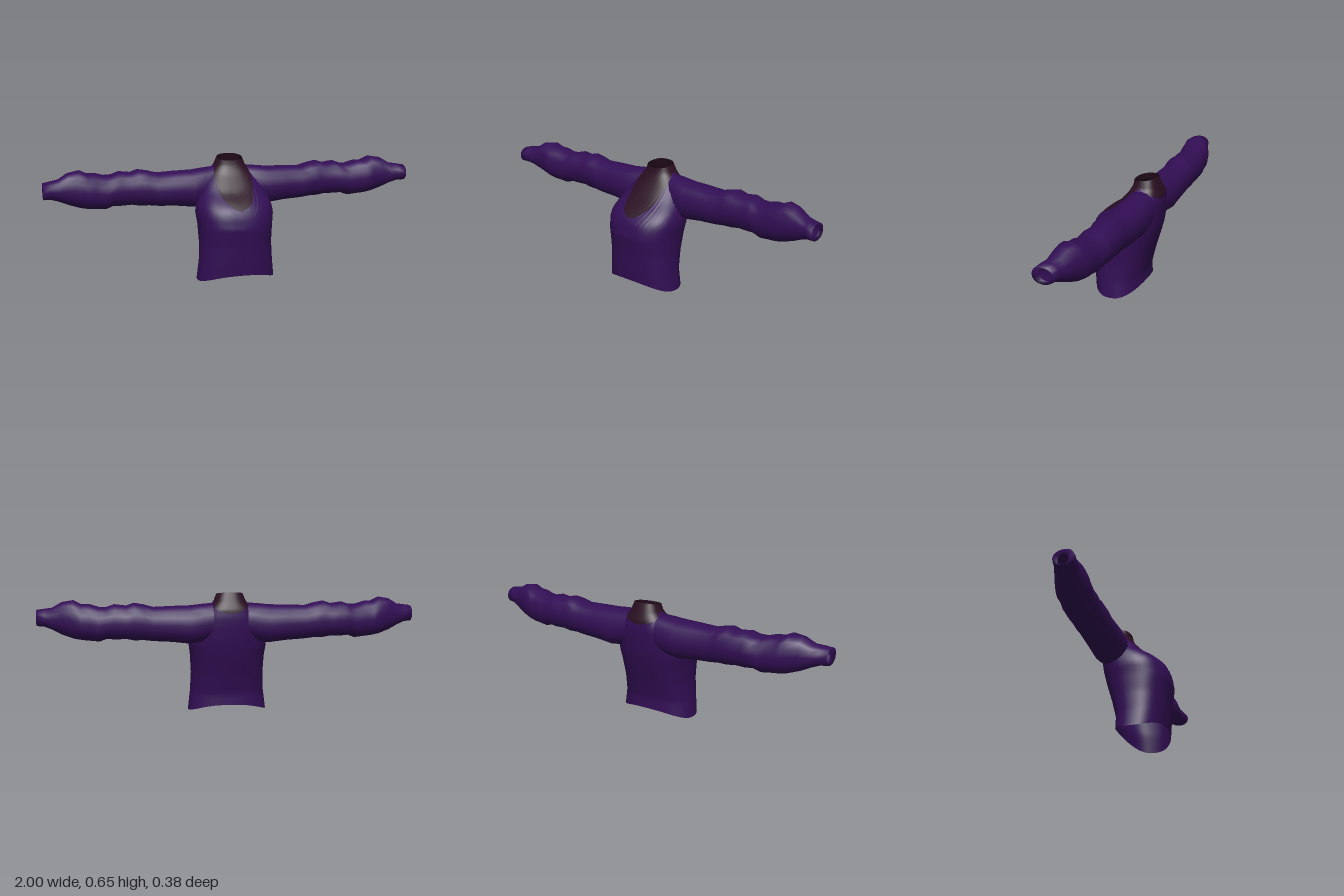
import * as THREE from 'three';

const fabric = new THREE.MeshStandardMaterial({ color: 0x320e54, side: THREE.DoubleSide });
fabric.name = 'purple fabric';
const inset = new THREE.MeshStandardMaterial({ color: 0x2a0f22, side: THREE.DoubleSide });
inset.name = 'dark neck fabric';

// Linear lookup in rows of [key, ...values]
function lookup(rows, key) {
  let k = 0;
  while (k < rows.length - 2 && key > rows[k + 1][0]) k++;
  const a = rows[k], b = rows[k + 1];
  const t = THREE.MathUtils.clamp((key - a[0]) / (b[0] - a[0]), 0, 1);
  return a.slice(1).map((v, n) => v + (b[n + 1] - v) * t);
}

// Rounded-box power for cross-sections
const squash = (v, p) => Math.sign(v) * Math.abs(v) ** p;

// Smooth closed tube: sides around, rows along; skip leaves openings
function tube(sides, rows, point, flip = false, skip = () => false) {
  const pos = [], index = [];
  for (let j = 0; j <= rows; j++)
    for (let i = 0; i < sides; i++) pos.push(...point((i / sides) * Math.PI * 2, j / rows, j));
  const at = (i, j) => j * sides + (i % sides);
  for (let j = 0; j < rows; j++) {
    for (let i = 0; i < sides; i++) {
      const a = at(i, j), b = at(i + 1, j), c = at(i + 1, j + 1), d = at(i, j + 1);
      const mid = [0, 1, 2].map(n => [a, b, c, d].reduce((s, v) => s + pos[v * 3 + n] / 4, 0));
      if (skip(mid)) continue;
      if (flip) index.push(a, c, b, a, d, c);
      else index.push(a, b, c, a, c, d);
    }
  }
  const g = new THREE.BufferGeometry();
  g.setAttribute('position', new THREE.Float32BufferAttribute(pos, 3));
  g.setIndex(index);
  g.computeVertexNormals();
  return g;
}

// Body: height, half width, front z, back z
const BODY = [
  [0, .212, .158, -.102], [.1, .2, .168, -.1], [.2, .195, .176, -.125],
  [.3, .2, .19, -.155], [.36, .208, .18, -.17], [.4, .203, .165, -.178],
  [.44, .19, .12, -.183], [.47, .175, .07, -.187], [.52, .15, .025, -.19],
  [.56, .122, -.01, -.186], [.6, .085, -.032, -.172], [.65, .065, -.04, -.155],
];
// Neckline height by angle from the front
const NECKLINE = [
  [0, .395], [10, .415], [20, .445], [30, .485], [40, .535], [60, .58],
  [90, .605], [135, .57], [180, .54],
];
// Sleeve: x, bottom, top, back z, front z
const SLEEVE = [
  [.09, .41, .592, -.18, -.025], [.15, .385, .587, -.187, -.01], [.21, .377, .58, -.19, 0],
  [.3, .388, .578, -.187, -.004], [.4, .394, .574, -.183, -.006], [.45, .4, .588, -.184, -.006],
  [.5, .4, .597, -.186, -.01], [.54, .408, .583, -.184, -.012], [.6, .406, .591, -.185, -.008],
  [.64, .41, .577, -.18, -.002], [.68, .395, .577, -.172, 0], [.73, .4, .592, -.163, .002],
  [.77, .404, .592, -.163, .01], [.81, .411, .612, -.155, .007], [.87, .432, .602, -.132, 0],
  [.92, .457, .572, -.112, .004], [.96, .472, .566, -.098, .014], [1, .475, .56, -.088, .02],
  [.985, .488, .542, -.069, -.015],
];

function bodyPoint(a, y) {
  const [w, front, back] = lookup(BODY, y);
  return [w * squash(Math.sin(a), .8), y, (front + back) / 2 + (front - back) / 2 * squash(Math.cos(a), .85)];
}

function neckline(a) {
  const deg = THREE.MathUtils.radToDeg(a);
  return lookup(NECKLINE, deg > 180 ? 360 - deg : deg)[0];
}

export function createModel() {
  const model = new THREE.Group();
  model.name = 'sweater';
  const add = (name, geometry, material) => {
    const mesh = new THREE.Mesh(geometry, material);
    mesh.name = name;
    model.add(mesh);
  };

  // Body with a curved hem, open at the hem and armholes
  const armhole = ([x, y, z]) =>
    Math.abs(x) > .1 && ((y - .485) / .088) ** 2 + ((z + .095) / .078) ** 2 < 1;
  add('body', tube(48, 30, (a, t) => {
    const hem = .043 * Math.cos(a) ** 2;
    return bodyPoint(a, THREE.MathUtils.lerp(hem, neckline(a), t));
  }, false, armhole), fabric);

  // Pointed neck inset and collar, higher at the back
  add('neckInset', tube(48, 12, (a, t) => {
    const rim = .64 - .01 * Math.cos(a);
    return bodyPoint(a, THREE.MathUtils.lerp(neckline(a), rim, t));
  }), inset);

  // Wrinkled sleeves, cuffs turned inwards at the ends
  for (const side of [1, -1]) {
    add(side > 0 ? 'leftSleeve' : 'rightSleeve', tube(16, SLEEVE.length - 1, (a, t, j) => {
      const [x, low, high, back, front] = SLEEVE[j];
      return [
        side * x,
        (low + high) / 2 + (high - low) / 2 * squash(Math.cos(a), .9),
        (back + front) / 2 + (front - back) / 2 * squash(Math.sin(a), .9),
      ];
    }, side < 0), fabric);
  }
  return model;
}
